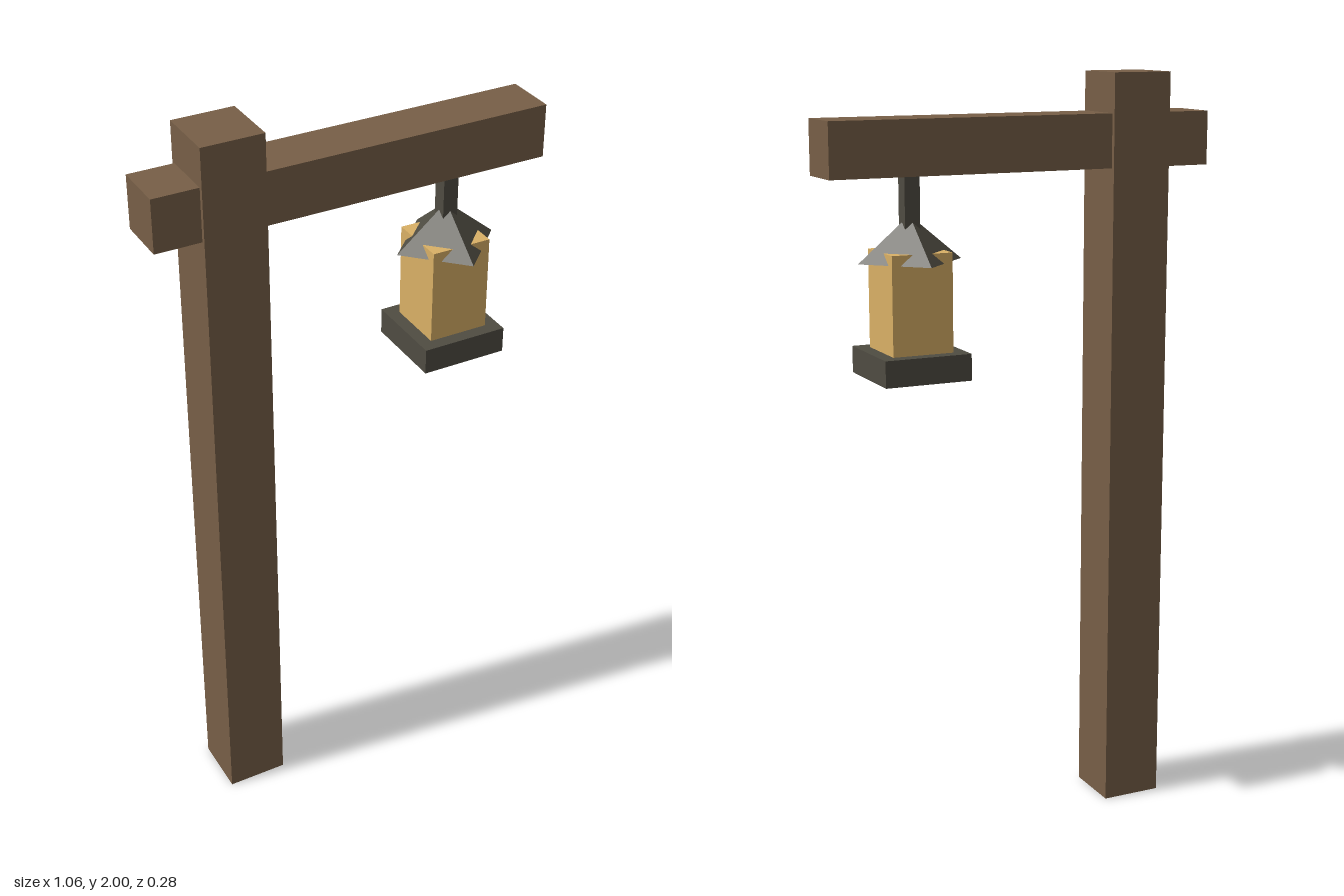
import * as THREE from 'three';

const material = (color) => new THREE.MeshStandardMaterial({ color, flatShading: true });

export function createModel() {
  const model = new THREE.Group();
  const wood = material(0x775f47);
  const iron = material(0x4f4c42);
  const glass = material(0xd9b066);

  const add = (parent, name, geometry, mat, x, y) => {
    const mesh = new THREE.Mesh(geometry, mat);
    mesh.name = name;
    mesh.position.set(x, y, 0);
    parent.add(mesh);
  };
  // Square-plan box spanning bottom..top
  const block = (parent, name, width, bottom, top, mat, x = 0) =>
    add(parent, name, new THREE.BoxGeometry(width, top - bottom, width), mat, x, (bottom + top) / 2);

  // Wooden post and cross beam
  block(model, 'post', 0.163, 0, 2, wood, -0.325);
  add(model, 'beam', new THREE.BoxGeometry(1.056, 0.14, 0.14), wood, 0, 1.827);

  // Hanging lantern
  const lantern = new THREE.Group();
  lantern.name = 'lantern';
  lantern.position.x = 0.293;
  block(lantern, 'hanger', 0.041, 1.6, 1.76, iron);
  block(lantern, 'lanternGlass', 0.163, 1.3, 1.567, glass);
  block(lantern, 'lanternBase', 0.233, 1.244, 1.313, iron);
  // Four-sided roof turned 45 degrees, so the glass corners poke out
  add(lantern, 'lanternRoof', new THREE.ConeGeometry(0.14, 0.116, 4), iron, 0, 1.598);
  model.add(lantern);

  return model;
}
